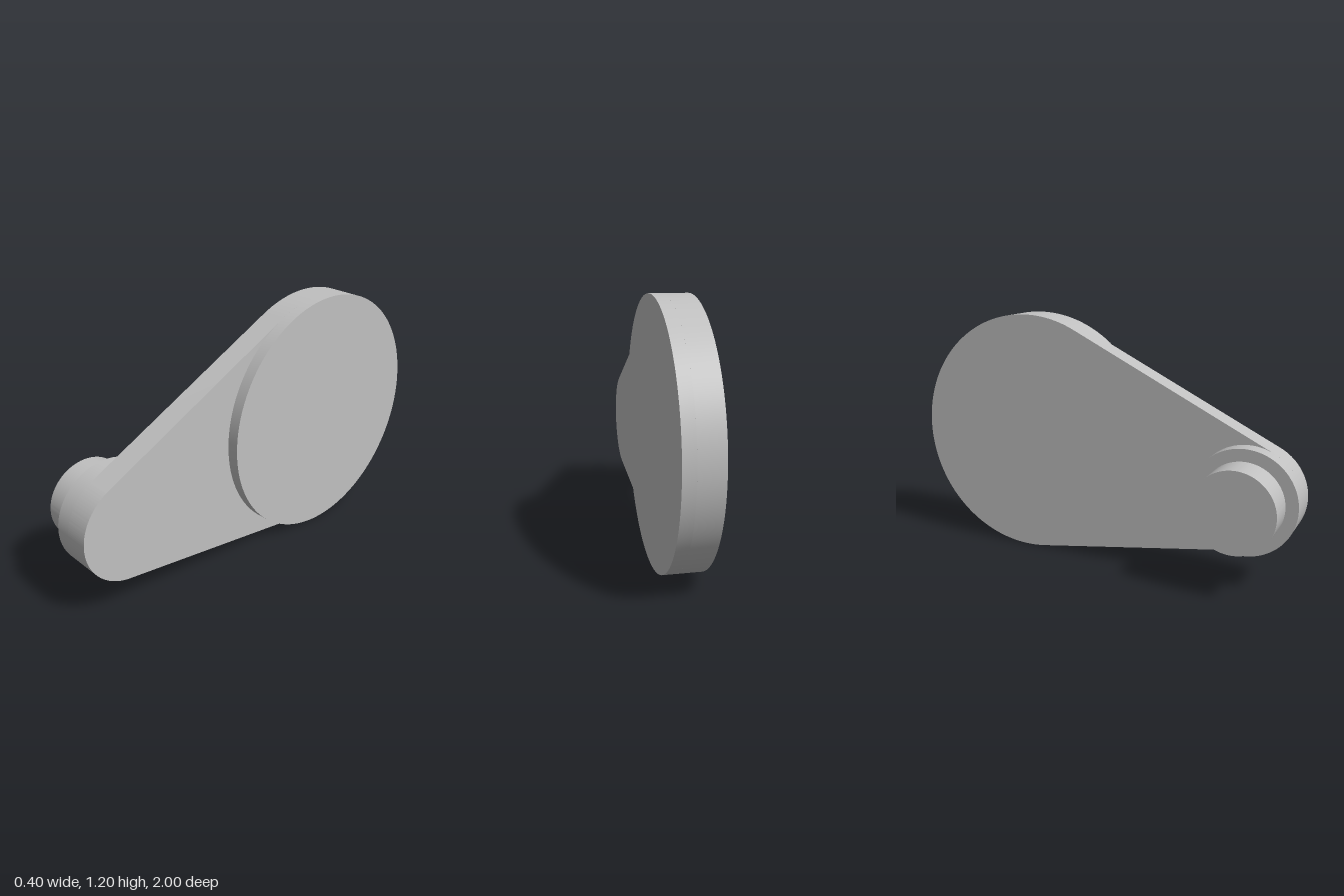
import * as THREE from 'three';
import { toCreasedNormals } from 'three/addons/utils/BufferGeometryUtils.js';

export function createModel() {
  const group = new THREE.Group();
  group.name = 'crankArm';
  const metal = new THREE.MeshStandardMaterial({ color: 0xc0c0c0 });
  metal.name = 'plainGrey';

  // Profiles are drawn with u = -z and v = y, then extruded along +x
  const big = { u: 0.4, v: 0.602, r: 0.6 };
  const small = { u: -0.75, v: 0.422, r: 0.25 };

  function addPart(name, shape, x0, x1) {
    const geo = new THREE.ExtrudeGeometry(shape, { depth: x1 - x0, bevelEnabled: false, curveSegments: 64 });
    geo.rotateY(Math.PI / 2).translate(x0, 0, 0);
    const mesh = new THREE.Mesh(toCreasedNormals(geo, 0.5), metal);
    mesh.name = name;
    group.add(mesh);
  }

  function disc(c, r) {
    return new THREE.Shape().absarc(c.u, c.v, r, 0, Math.PI * 2, false);
  }

  // Arm outline: two circles joined by their outer tangents
  const du = big.u - small.u, dv = big.v - small.v;
  const lean = Math.atan2(dv, du);
  const spread = Math.PI / 2 + Math.asin((big.r - small.r) / Math.hypot(du, dv));
  const upper = lean + spread, lower = lean - spread + Math.PI * 2;
  const arm = new THREE.Shape();
  arm.absarc(small.u, small.v, small.r, upper, lower, false);
  arm.absarc(big.u, big.v, big.r, lower, upper + Math.PI * 2, false);
  arm.closePath();

  addPart('armPlate', arm, 0.028, 0.143);
  addPart('largeDisc', disc(big, big.r), 0.143, 0.2);
  addPart('boss', disc(small, small.r), -0.048, 0.028);
  addPart('pin', disc(small, 0.192), -0.203, -0.048);
  return group;
}
